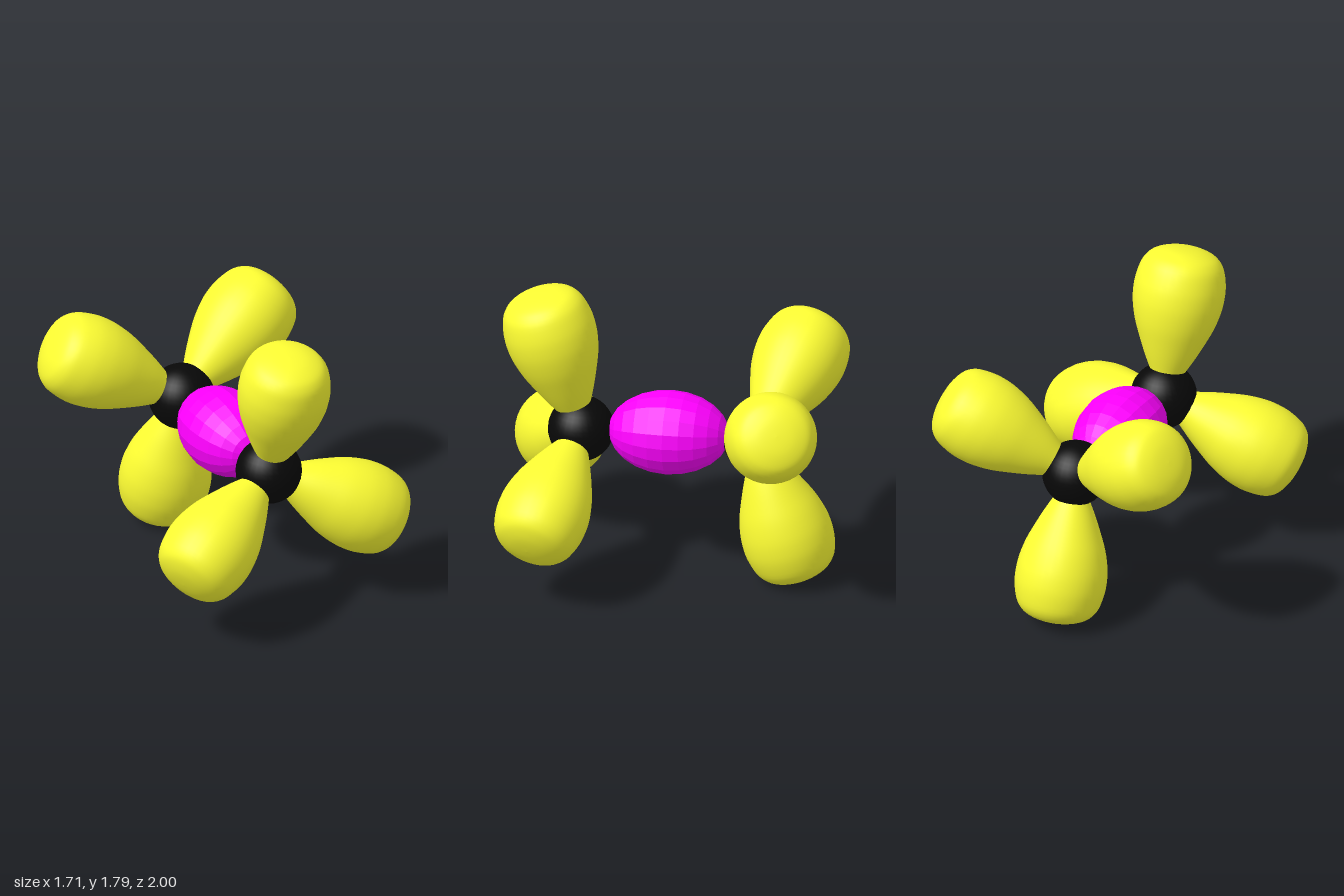
import * as THREE from 'three';

const mat = (color, flatShading = false) => new THREE.MeshStandardMaterial({ color, flatShading });
const yellow = mat(0xffff33);
const black = mat(0x080808);
const magenta = mat(0xff00ff, true);

// Pear-shaped lobe: narrow neck inside the ball, broad and slightly flattened far end
function lobeGeometry() {
  const profile = [
    [0, 0.06], [0.07, 0.09], [0.107, 0.16], [0.153, 0.25], [0.198, 0.35], [0.238, 0.45],
    [0.264, 0.55], [0.273, 0.63], [0.27, 0.71], [0.249, 0.8], [0.219, 0.85],
    [0.181, 0.88], [0.12, 0.903], [0.06, 0.913], [0, 0.916],
  ].map(([r, t]) => new THREE.Vector2(r, t));
  const smooth = new THREE.SplineCurve(profile).getPoints(42);
  smooth.forEach((p) => { p.x = Math.max(0, p.x); });
  return new THREE.LatheGeometry(smooth, 40);
}

// One black ball with three lobes; each lobe is [azimuth in degrees, lean along z]
function ballWithLobes(name, center, side, lobes, geometry) {
  const group = new THREE.Group();
  group.name = name;
  group.position.copy(center);

  const ball = new THREE.Mesh(new THREE.SphereGeometry(0.197, 32, 20), black);
  ball.name = 'ball';
  group.add(ball);

  for (const [azimuth, lean] of lobes) {
    const a = THREE.MathUtils.degToRad(azimuth);
    const flat = Math.sqrt(1 - lean * lean);
    const dir = new THREE.Vector3(Math.cos(a) * flat, Math.sin(a) * flat, side * lean);
    const lobe = new THREE.Mesh(geometry, yellow);
    lobe.name = 'lobe';
    lobe.quaternion.setFromUnitVectors(new THREE.Vector3(0, 1, 0), dir);
    group.add(lobe);
  }
  return group;
}

export function createModel() {
  const model = new THREE.Group();
  model.name = 'orbitalModel';
  const front = new THREE.Vector3(-0.037, 0.888, 0.528);
  const back = new THREE.Vector3(0.005, 0.9, -0.526);
  const geometry = lobeGeometry();

  // The two ends are staggered by 60 degrees
  model.add(ballWithLobes('frontEnd', front, 1, [[90.7, 0.285], [210, 0.295], [329.8, 0.24]], geometry));
  model.add(ballWithLobes('backEnd', back, -1, [[270, 0.285], [29.6, 0.245], [150.7, 0.295]], geometry));

  // Faceted spindle joining the balls, poles pointing at them
  const bond = new THREE.Mesh(new THREE.SphereGeometry(1, 18, 12), magenta);
  bond.name = 'centralBond';
  bond.scale.set(0.252, 0.362, 0.252);
  bond.position.set(-0.019, 0.907, 0);
  bond.quaternion.setFromUnitVectors(new THREE.Vector3(0, 1, 0), front.clone().sub(back).normalize());
  model.add(bond);

  return model;
}
